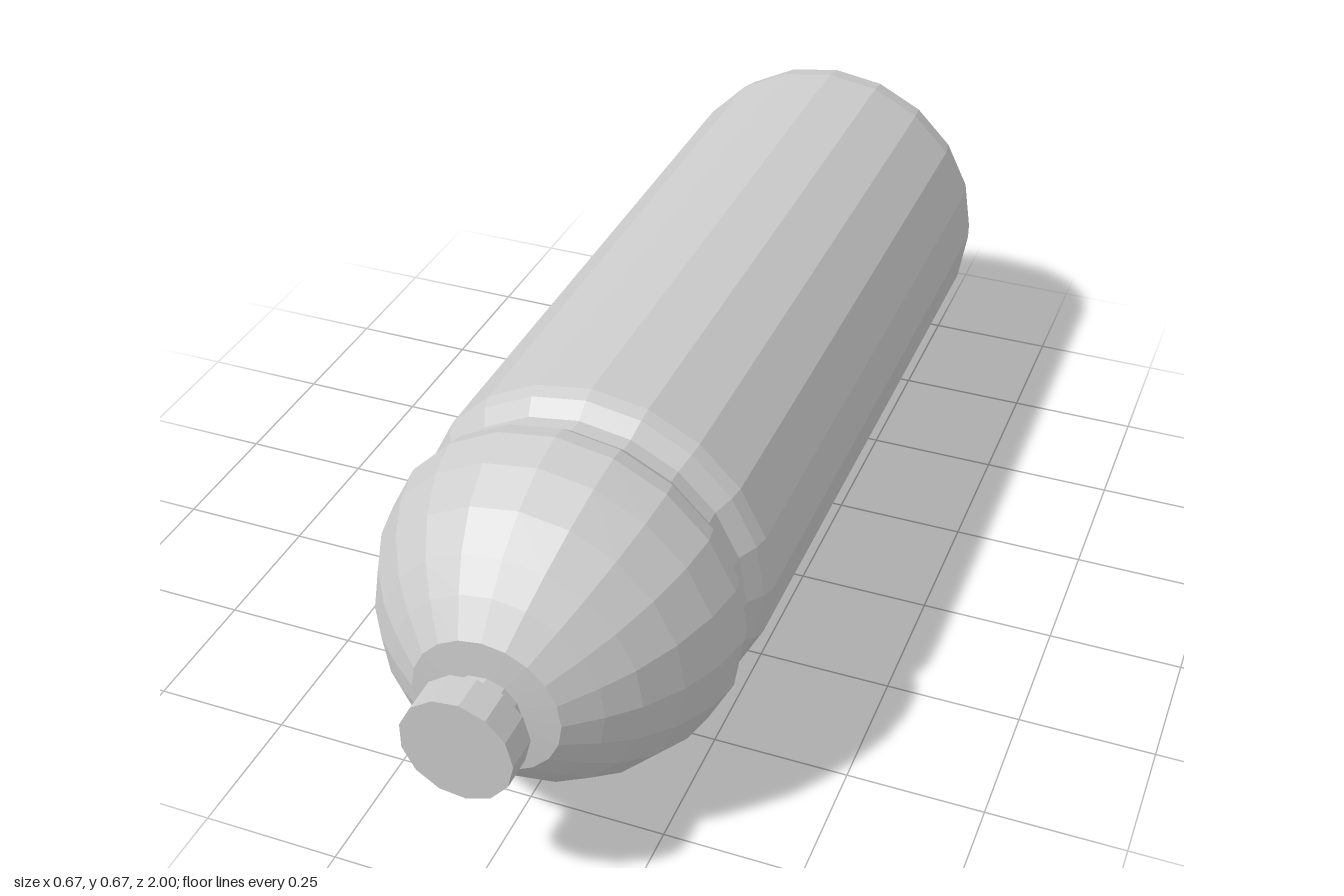
import * as THREE from 'three';

export function createModel() {
  const model = new THREE.Group();
  const material = new THREE.MeshStandardMaterial({ color: 0xcccccc, flatShading: true });

  // Turns a [radius, z] profile, listed from back to front, around the z axis
  function turned(name, profile, sides) {
    const points = profile.map(([r, z]) => new THREE.Vector2(r, z));
    const geometry = new THREE.LatheGeometry(points, sides, Math.PI / 2, Math.PI * 2);
    geometry.rotateX(Math.PI / 2);
    const mesh = new THREE.Mesh(geometry, material);
    mesh.name = name;
    mesh.position.y = 0.334;
    model.add(mesh);
  }

  // Tank with rounded base, straight wall, groove and domed shoulder
  turned('body', [
    [0, -1], [0.2, -1], [0.25, -0.985], [0.29, -0.955], [0.322, -0.91], [0.333, -0.86],
    [0.333, 0.44], [0.325, 0.465], [0.303, 0.495], [0.303, 0.525], [0.326, 0.555],
    [0.333, 0.59], [0.318, 0.66], [0.284, 0.735], [0.237, 0.8], [0.19, 0.845],
    [0.133, 0.89], [0, 0.9],
  ], 20);

  // Narrow neck
  turned('neck', [[0.067, 0.88], [0.067, 0.94]], 13);

  // Flat valve cap
  turned('cap', [[0, 0.935], [0.1, 0.935], [0.1, 1], [0, 1]], 13);

  return model;
}
